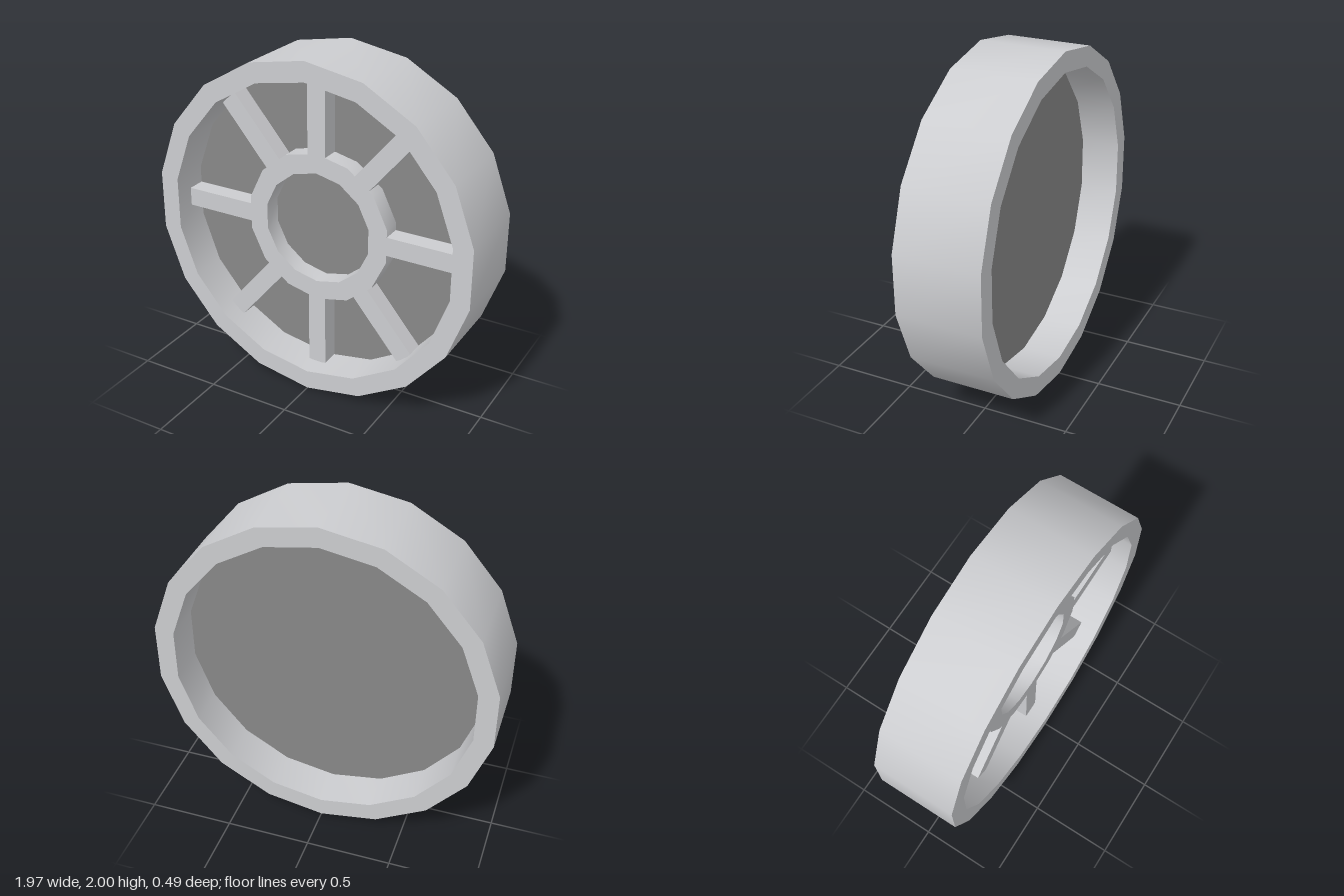
import * as THREE from 'three';
import { toCreasedNormals } from 'three/addons/utils/BufferGeometryUtils.js';

// Corner points of a regular polygon with one corner at the top
function polygon(radius, sides) {
  return Array.from({ length: sides }, (_, i) => {
    const a = (i / sides) * Math.PI * 2;
    return new THREE.Vector2(-Math.sin(a) * radius, Math.cos(a) * radius);
  });
}

// Polygonal ring between two depths, smooth around and sharp at its edges
function ring(outer, inner, sides, back, front) {
  const shape = new THREE.Shape(polygon(outer, sides));
  if (inner > 0) shape.holes.push(new THREE.Path(polygon(inner, sides)));
  const geometry = new THREE.ExtrudeGeometry(shape, { depth: front - back, bevelEnabled: false });
  geometry.translate(0, 0, back);
  return toCreasedNormals(geometry, 0.6);
}

export function createModel() {
  const lightGrey = new THREE.MeshStandardMaterial({ name: 'light grey', color: 0xcccdd0 });
  const darkGrey = new THREE.MeshStandardMaterial({ name: 'dark grey', color: 0x888888 });

  const wheel = new THREE.Group();
  wheel.name = 'wheel';
  wheel.position.y = 1;

  const add = (name, geometry, material) => {
    const mesh = new THREE.Mesh(geometry, material);
    mesh.name = name;
    wheel.add(mesh);
    return mesh;
  };

  const discFront = 0.022;
  const spokeFront = 0.13;

  // Outer rim, backing disc and hub ring
  add('rim', ring(1, 0.885, 18, -0.247, 0.247), lightGrey);
  add('disc', ring(0.9, 0, 18, -0.012, discFront), darkGrey);
  add('hub', ring(0.45, 0.335, 14, discFront - 0.01, spokeFront), lightGrey);

  // Eight spokes; the diagonal ones meet corners of the rim
  const spokeGeometry = new THREE.BoxGeometry(0.11, 0.445, spokeFront - discFront + 0.01);
  spokeGeometry.translate(0, 0.6575, (spokeFront + discFront - 0.01) / 2);
  [0, 40, 90, 140, 180, 220, 270, 320].forEach((angle, i) => {
    const spoke = add(`spoke${i + 1}`, spokeGeometry, lightGrey);
    spoke.rotation.z = THREE.MathUtils.degToRad(angle);
  });

  const model = new THREE.Group();
  model.add(wheel);
  return model;
}
